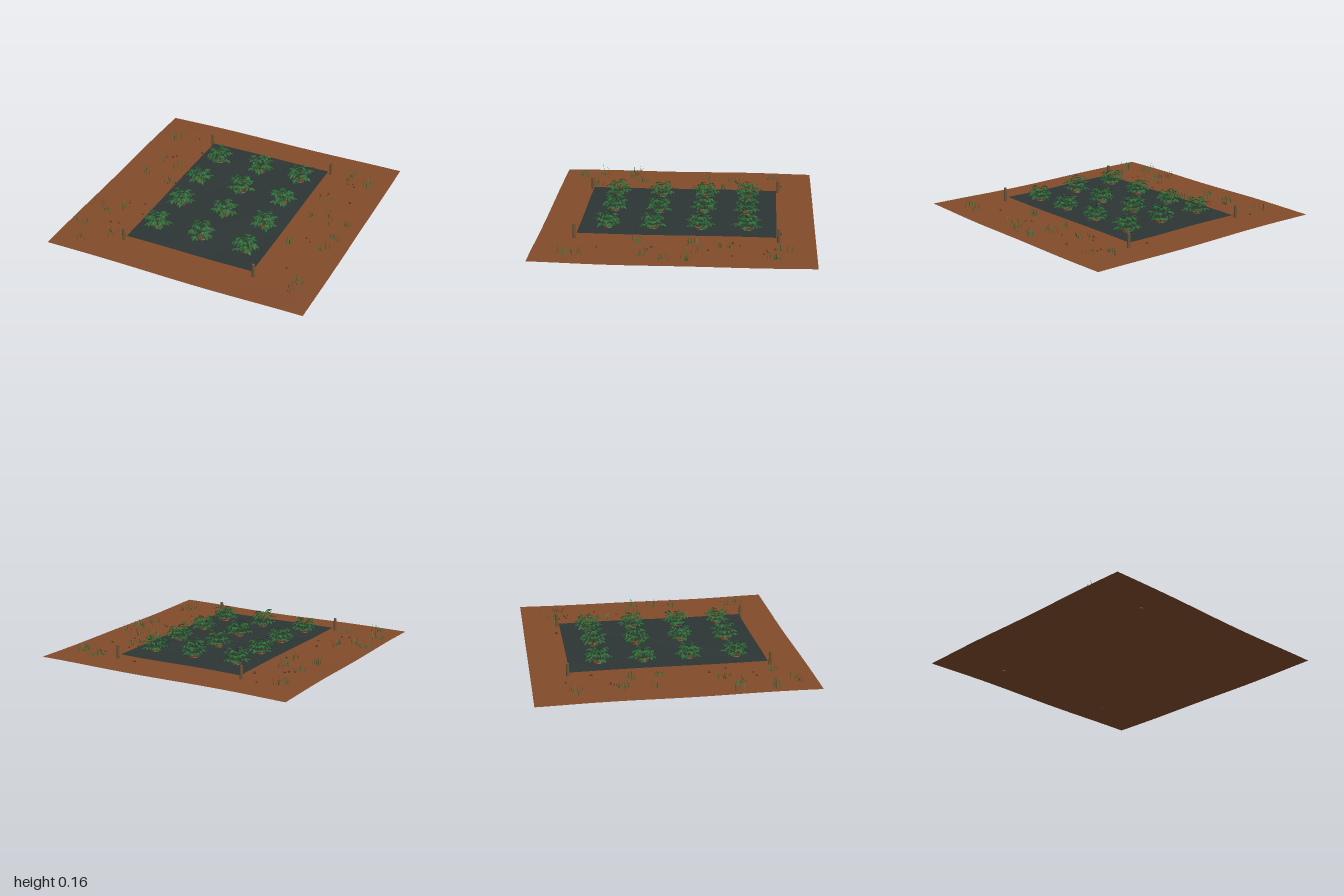
import * as THREE from 'three';
import { mergeGeometries } from 'three/addons/utils/BufferGeometryUtils.js';

const mat = (name, color, extra = {}) => new THREE.MeshStandardMaterial({ name, color, ...extra });
const both = { side: THREE.DoubleSide };

function seeded(seed) {
  let s = seed;
  return (a = 0, b = 1) => {
    s = (s * 16807) % 2147483647;
    return a + (b - a) * (s / 2147483647);
  };
}

const groundY = (x, z) => 0.009 + 0.004 * Math.sin(x * 4.1 + 0.6) * Math.cos(z * 3.3) + 0.003 * Math.sin(z * 5.2 + x * 2);

// Horizontal sheet whose height follows a rule
function sheet(w, d, nx, nz, height) {
  const g = new THREE.PlaneGeometry(w, d, nx, nz).rotateX(-Math.PI / 2);
  const p = g.attributes.position;
  for (let i = 0; i < p.count; i++) p.setY(i, height(p.getX(i), p.getZ(i)));
  g.computeVertexNormals();
  return g;
}

// Pointed oval leaf along +z, folded up along its midrib and drooping at the tip
function leafGeometry(len, width) {
  const g = new THREE.PlaneGeometry(1, 1, 2, 4).rotateX(-Math.PI / 2);
  const p = g.attributes.position;
  const profile = [0.08, 0.75, 1, 0.7, 0];
  for (let i = 0; i < p.count; i++) {
    const t = p.getZ(i) + 0.5;
    const side = p.getX(i) * 2;
    p.setXYZ(i, side * width * 0.5 * profile[Math.round(t * 4)],
      Math.abs(side) * 0.004 - 0.012 * t * t, t * len);
  }
  g.computeVertexNormals();
  return g;
}

function place(geo, x, y, z, yaw, pitch) {
  const m = new THREE.Matrix4().makeRotationFromEuler(new THREE.Euler(pitch, yaw, 0, 'YXZ'));
  return geo.applyMatrix4(m.setPosition(x, y, z));
}

function clodGeometry(r, x, y, z, rnd) {
  const g = new THREE.IcosahedronGeometry(r, 0);
  return g.scale(1, 0.7, rnd(0.75, 1.1)).rotateY(rnd(0, 6)).translate(x, y, z);
}

export function createModel() {
  const model = new THREE.Group();
  const rnd = seeded(4711);
  const soil = mat('soil', 0x824b2b, both);
  const film = mat('mulch film', 0x2d3535, both);
  const leafMid = mat('leaf green', 0x2c6a34, both);
  const leafDark = mat('dark leaf green', 0x235a2c, both);
  const stemMat = mat('stem green', 0x35582c);
  const grassMat = mat('grass green', 0x3c7038, both);
  const clodMat = mat('dark clod', 0x5a321d, { flatShading: true });
  const mound = mat('mound brown', 0x75482c, { flatShading: true });
  const wood = mat('stake wood', 0x6f5538);

  const add = (parent, name, geo, material) => {
    const mesh = new THREE.Mesh(geo, material);
    mesh.name = name;
    parent.add(mesh);
    return mesh;
  };

  // Ground and the stretched film above it
  add(model, 'ground', sheet(2, 2, 32, 32, groundY), soil);
  add(model, 'mulchFilm', sheet(1, 1.44, 16, 24,
    (x, z) => 0.035 + 0.002 * Math.sin(x * 7 + z * 5)), film);

  // Corner stakes
  for (const sx of [-1, 1]) for (const sz of [-1, 1]) {
    const stake = add(model, 'cornerStake', new THREE.CylinderGeometry(0.011, 0.012, 0.105, 8), wood);
    stake.position.set(sx * 0.516, 0.0575, sz * 0.735);
  }

  // Crop plants: x, z, height
  const plants = [
    [-0.34, -0.5, 0.115], [0.015, -0.5, 0.125], [0.345, -0.51, 0.11],
    [-0.355, -0.175, 0.1], [0, -0.18, 0.115], [0.35, -0.165, 0.105],
    [-0.34, 0.165, 0.1], [0.02, 0.16, 0.11], [0.35, 0.18, 0.1],
    [-0.36, 0.51, 0.105], [0, 0.5, 0.12], [0.35, 0.51, 0.105],
  ];
  for (const [px, pz, h] of plants) {
    const plant = new THREE.Group();
    plant.name = 'plant';
    plant.position.set(px, 0.036, pz);
    model.add(plant);

    // Planting hole with crumbled soil
    add(plant, 'plantingHole', new THREE.CylinderGeometry(0.036, 0.042, 0.006, 12).translate(0, 0.003, 0), clodMat);
    const crumbs = [];
    for (let i = 0; i < 8; i++) {
      const a = rnd(0, 6.28), r = rnd(0.008, 0.03);
      crumbs.push(clodGeometry(rnd(0.008, 0.013), Math.cos(a) * r, 0.008, Math.sin(a) * r, rnd));
    }
    add(plant, 'crumbledSoil', mergeGeometries(crumbs), mound);

    // Branches fan out in three tiers, each with paired leaflets and a tip leaflet
    const stems = [], leaves = [[], []];
    const spin = rnd(0, 6.28);
    const tiers = [[5, 0.066, 0.32], [5, 0.062, 0.66], [4, 0.042, 0.96]];
    tiers.forEach(([count, reach, top], tier) => {
      for (let i = 0; i < count; i++) {
        const yaw = spin + tier * 0.65 + (i / count) * Math.PI * 2 + rnd(-0.2, 0.2);
        const r = reach * rnd(0.88, 1.1), y = h * top * rnd(0.92, 1.04);
        const curve = new THREE.QuadraticBezierCurve3(
          new THREE.Vector3(0, 0, 0),
          new THREE.Vector3(Math.sin(yaw) * r * 0.3, y * 0.9, Math.cos(yaw) * r * 0.3),
          new THREE.Vector3(Math.sin(yaw) * r, y, Math.cos(yaw) * r));
        stems.push(new THREE.TubeGeometry(curve, 5, 0.0016, 4));
        const leaflets = [[1, 0, 1], [0.93, 0.85, 0.85], [0.93, -0.85, 0.85], [0.7, 1.15, 0.75], [0.7, -1.15, 0.75]];
        leaflets.forEach(([t, turn, s], k) => {
          const p = curve.getPoint(t);
          const size = s * rnd(0.9, 1.1);
          leaves[(i + k) % 2].push(place(leafGeometry(0.043 * size, 0.023 * size),
            p.x, p.y, p.z, yaw + turn, rnd(-0.18, 0.22)));
        });
      }
    });
    add(plant, 'branches', mergeGeometries(stems), stemMat);
    add(plant, 'leaves', mergeGeometries(leaves[0]), leafMid);
    add(plant, 'darkLeaves', mergeGeometries(leaves[1]), leafDark);
  }

  // Grass tufts around the bed
  const tufts = [
    [-0.81, -0.7], [0.69, -0.78], [0.84, -0.7], [-0.59, -0.31], [-0.76, -0.37], [-0.8, -0.15],
    [-0.58, -0.07], [0.62, -0.36], [0.6, -0.12], [0.73, -0.12], [0.89, -0.11], [0.88, 0.06],
    [0.83, 0.21], [0.59, 0.27], [-0.92, 0.41], [-0.83, 0.45], [-0.72, 0.37], [-0.91, 0.68],
    [-0.63, 0.71], [-0.81, 0.85], [0.82, 0.69], [0.81, 0.77],
  ];
  const blades = [];
  for (const [tx, tz] of tufts) {
    for (let i = 0; i < 10; i++) {
      const a = rnd(0, 6.28), r = rnd(0.005, 0.06), h = rnd(0.035, 0.06);
      const x = tx + Math.cos(a) * r, z = tz + Math.sin(a) * r;
      const blade = new THREE.PlaneGeometry(0.006, h, 1, 2).translate(0, h / 2, 0);
      const p = blade.attributes.position;
      for (let v = 0; v < p.count; v++) {
        const t = p.getY(v) / h;
        p.setX(v, p.getX(v) * (1 - t * 0.85));
        p.setZ(v, 0.012 * t * t);
      }
      blade.computeVertexNormals();
      blades.push(place(blade, x, groundY(x, z), z, rnd(0, 6.28), rnd(-0.1, 0.15)));
    }
  }
  add(model, 'grassTufts', mergeGeometries(blades), grassMat);

  // Loose clods of earth
  const spots = [
    [-0.65, -0.76], [0.36, -0.75], [0.67, -0.71], [0.73, -0.66], [0.69, -0.65], [0.75, -0.63],
    [-0.7, -0.45], [-0.76, -0.4], [-0.72, -0.42], [-0.53, -0.1], [0.56, -0.41], [0.61, -0.46],
    [0.71, -0.24], [0.8, -0.41], [-0.59, 0.27], [-0.54, 0.4], [0.72, 0.19], [0.68, 0.16],
    [-0.71, 0.59], [-0.65, 0.58], [0.69, 0.55], [-0.53, -0.57],
  ];
  add(model, 'earthClods', mergeGeometries(spots.map(([x, z]) =>
    clodGeometry(rnd(0.008, 0.013), x, groundY(x, z) + 0.005, z, rnd))), clodMat);

  return model;
}
